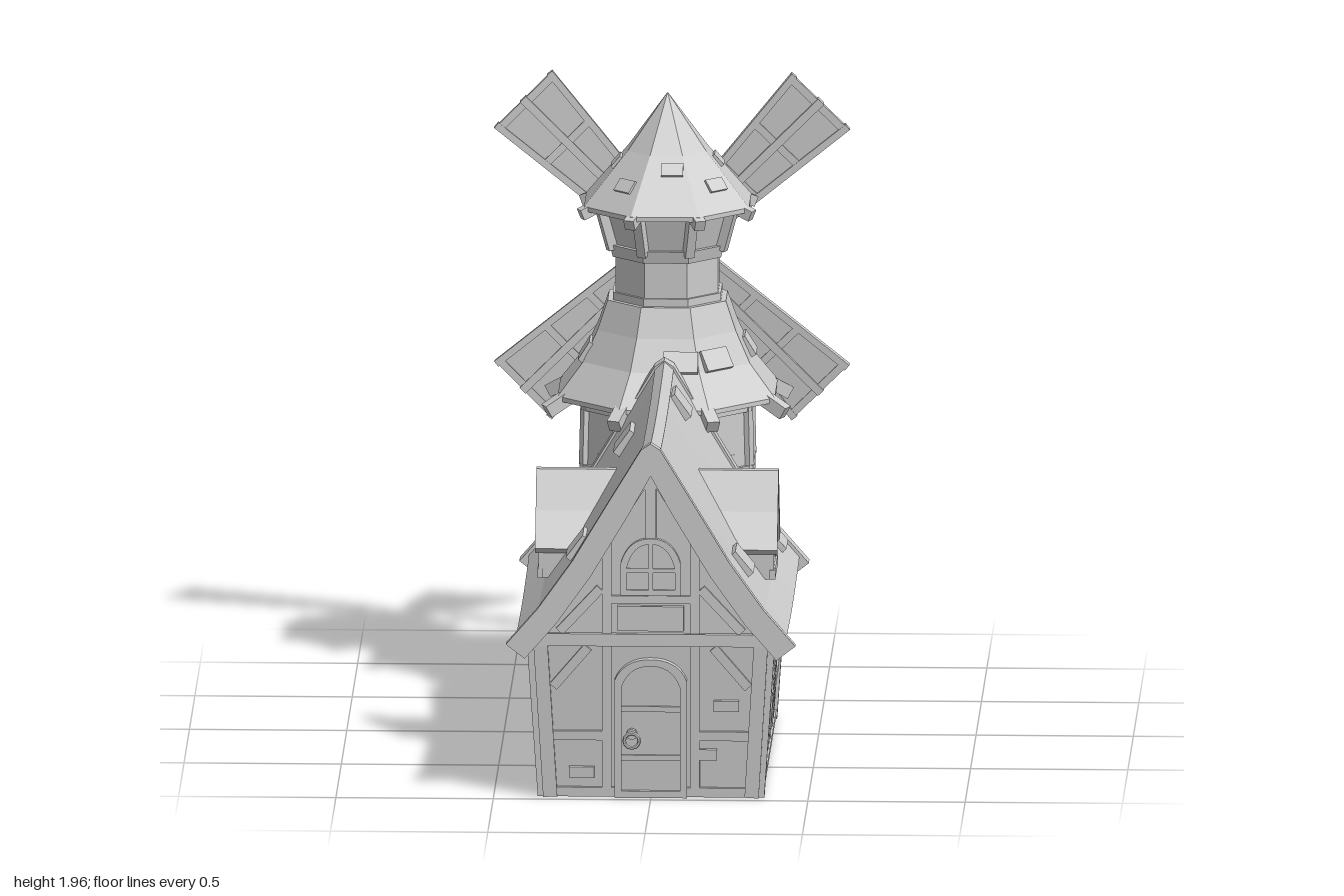
import * as THREE from 'three';

const mat = new THREE.MeshStandardMaterial({ color: 0xcccccc, flatShading: true });
const add = (parent, name, geo, x = 0, y = 0, z = 0) => {
  const m = new THREE.Mesh(geo, mat);
  m.name = name;
  m.position.set(x, y, z);
  parent.add(m);
  return m;
};
const group = (parent, name, x = 0, y = 0, z = 0) => {
  const g = new THREE.Group();
  g.name = name;
  g.position.set(x, y, z);
  parent.add(g);
  return g;
};
// Wall plane: local x along the wall, y up, z outward
const wall = (parent, name, x, y, z, angle, tilt = 0) => {
  const g = group(parent, name, x, y, z);
  g.rotation.set(tilt, angle, 0, 'YXZ');
  return g;
};
// Timber lying on a wall plane between two points
function bar(g, name, u1, v1, u2, v2, w = 0.03, d = 0.012, z0 = 0) {
  const m = add(g, name, new THREE.BoxGeometry(Math.hypot(u2 - u1, v2 - v1), w, d),
    (u1 + u2) / 2, (v1 + v2) / 2, z0 + d / 2);
  m.rotation.z = Math.atan2(v2 - v1, u2 - u1);
  return m;
}
const poly = pts => new THREE.Shape(pts.map(p => new THREE.Vector2(...p)));
const extrude = (shape, depth, steps = 1) =>
  new THREE.ExtrudeGeometry(shape, { depth, steps, bevelEnabled: false, curveSegments: 8 });

// Arched opening: raised frame around a shallow panel
function archPath(w, y0, y1, rise, P = THREE.Shape) {
  const p = new P();
  p.moveTo(-w, y0);
  p.lineTo(w, y0);
  p.lineTo(w, y1 - rise);
  p.quadraticCurveTo(w * 0.75, y1, 0, y1);
  p.quadraticCurveTo(-w * 0.75, y1, -w, y1 - rise);
  p.lineTo(-w, y0);
  return p;
}
function arch(g, name, x, w, y0, y1, rise, f, d) {
  const s = archPath(w, y0, y1, rise);
  s.holes.push(archPath(w - f, y0 + f, y1 - f, rise, THREE.Path));
  add(g, name + 'Frame', extrude(s, d), x);
  add(g, name + 'Panel', extrude(archPath(w - f / 2, y0 + f / 2, y1 - f / 2, rise), d * 0.5), x);
}
function ringHandle(g, x, y, z) {
  add(g, 'doorHandlePlate', new THREE.CylinderGeometry(0.018, 0.018, 0.015, 8), x, y + 0.02, z).rotation.x = Math.PI / 2;
  add(g, 'doorRing', new THREE.TorusGeometry(0.024, 0.006, 6, 12), x, y, z + 0.008);
}

// House roof outline from ridge to eave
const RZ = 0.35;
const OUT = [[0, 1.155], [0.03, 1.135], [0.13, 0.97], [0.25, 0.77], [0.36, 0.615], [0.46, 0.5]];
function roofY(x) {
  const i = OUT.findIndex(p => p[0] >= x) || 1, [a, b] = [OUT[i - 1], OUT[i]];
  return a[1] + (b[1] - a[1]) * (x - a[0]) / (b[0] - a[0]);
}
function roofShape(drop, t, maxX) {
  const out = OUT.slice(0, -1).concat([[maxX, roofY(maxX)]]).map(([x, y]) => [x, y - drop]);
  const inn = out.map(([x, y]) => x ? [Math.max(0.002, x - 0.8 * t), y - 0.62 * t] : [0, y - 1.4 * t]).filter(p => p[0] !== 0.002);
  const flip = a => a.slice(1).reverse().map(([x, y]) => [-x, y]);
  return poly([...flip(out), ...out, ...inn.slice(1).reverse(), inn[0], ...flip(inn).reverse()]);
}
// Gentle sag along the ridge
function sag(geo) {
  const p = geo.attributes.position;
  for (let i = 0; i < p.count; i++)
    p.setY(i, p.getY(i) - 0.022 * Math.max(0, 1 - ((p.getZ(i) - RZ) / 0.65) ** 2));
  geo.computeVertexNormals();
  return geo;
}

function buildHouse(root) {
  const house = group(root, 'house');
  // Body flares outward toward the eaves
  const body = new THREE.BoxGeometry(0.68, 0.5, 1.2).translate(0, 0.25, 0);
  const p = body.attributes.position;
  for (let i = 0; i < p.count; i++) if (p.getY(i) > 0.1)
    p.setXYZ(i, p.getX(i) * 1.1, 0.5, p.getZ(i) * 1.042);
  add(house, 'houseBody', body, 0, 0, RZ);
  add(house, 'gables', extrude(poly([[-0.374, 0.5], [0.374, 0.5], [0, 1.08]]), 1.25), 0, 0, RZ - 0.625);

  // Roof slab, end boards and ridge cap
  add(house, 'roof', sag(extrude(roofShape(0.015, 0.045, 0.43), 1.24, 10).translate(0, 0, -0.27)));
  for (const z of [-0.3, 0.955])
    add(house, 'roofEndBoard', sag(extrude(roofShape(0, 0.075, 0.46), 0.045).translate(0, 0, z)));
  add(house, 'ridgeCap', sag(extrude(poly([[-0.032, 1.09], [0.032, 1.09], [0.03, 1.125], [0, 1.152], [-0.03, 1.125]]), 1.24, 10).translate(0, 0, -0.27)));
  for (const [x, z] of [[0.06, -0.02], [0.28, 0.67], [0.355, -0.17], [-0.11, 0.14], [-0.24, 0.72], [-0.33, -0.1]]) {
    const a = Math.abs(x), slope = Math.atan2(roofY(a + 0.03) - roofY(a - 0.03), 0.06);
    const t = add(house, 'looseShingle', new THREE.BoxGeometry(0.09, 0.025, 0.14), x, roofY(a) - 0.02, z);
    t.rotation.z = Math.sign(x) * (slope + 0.08);
  }

  // Side walls
  for (const s of [1, -1]) {
    const g = wall(house, 'sideWall', s * 0.34, 0, 0, s * Math.PI / 2, 0.068);
    const b = (n, z1, y1, z2, y2, w, d) => bar(g, n, -z1 * s, y1, -z2 * s, y2, w, d);
    b('sillBeam', 0.95, 0.015, -0.25, 0.015, 0.03, 0.016);
    b('middleBeam', 0.96, 0.2, -0.26, 0.2, 0.035, 0.016);
    b('topBeam', 0.97, 0.485, -0.27, 0.485, 0.03, 0.016);
    b('cornerPost', 0.935, 0, 0.95, 0.5, 0.045, 0.02);
    b('cornerPost', -0.235, 0, -0.25, 0.5, 0.045, 0.02);
    for (const z of [0.72, 0.53, 0.36, 0.2, 0.02, -0.1]) b('lowerStud', z, 0.02, z, 0.19);
    for (const z of [0.68, 0.42, 0.165]) b('upperStud', z, 0.2, z, 0.48, 0.035, 0.014);
    b('brace', 0.91, 0.46, 0.71, 0.23);
    b('brace', 0.39, 0.23, 0.28, 0.46);
    b('brace', 0.27, 0.46, 0.18, 0.23);
    b('brace', 0.14, 0.23, -0.2, 0.46);
    for (const [z, y] of [[0.83, 0.08], [0.44, 0.14], [0.235, 0.27]]) b('brick', z + 0.037, y, z - 0.037, y, 0.04, 0.016);
    // Window with shutter slats
    b('windowPanel', 0.64, 0.345, 0.45, 0.345, 0.23, 0.008);
    for (const y of [0.235, 0.29, 0.345, 0.4, 0.455]) b('windowSlat', 0.665, y, 0.435, y, 0.02, 0.02);
    for (const z of [0.655, 0.55, 0.445]) b('windowUpright', z, 0.23, z, 0.46, 0.02, 0.018);

    // Dormer
    const d = wall(house, 'dormer', 0, 0, 0.345, s * Math.PI / 2);
    add(d, 'dormerBody', extrude(poly([[-0.115, 0.6], [0.115, 0.6], [0.115, 0.715], [0, 0.9], [-0.115, 0.715]]), 0.26), 0, 0, 0.1);
    add(d, 'dormerRoof', extrude(poly([[0.115, 0.68], [0.142, 0.7], [0.075, 0.81], [0.015, 0.932], [-0.015, 0.932],
      [-0.075, 0.81], [-0.142, 0.7], [-0.115, 0.68], [-0.055, 0.79], [0, 0.89], [0.055, 0.79]]), 0.285), 0, 0, 0.1);
    const w = group(d, 'dormerFace', 0, 0, 0.36);
    arch(w, 'dormerWindow', 0, 0.065, 0.635, 0.78, 0.06, 0.015, 0.014);
    bar(w, 'dormerSill', -0.12, 0.615, 0.12, 0.615, 0.03, 0.018);
    for (const m of [1, -1]) bar(w, 'dormerPost', m * 0.105, 0.6, m * 0.105, 0.72, 0.025, 0.014);
  }

  // End walls with gable timber
  for (const s of [1, -1]) {
    const a = s > 0 ? 0 : Math.PI;
    const g = wall(house, 'endWall', 0, 0, RZ + s * 0.6, a, 0.05);
    const u = wall(house, 'gableWall', 0, 0, RZ + s * 0.625, a);
    bar(g, 'sillBeam', -0.34, 0.015, 0.34, 0.015, 0.03);
    bar(u, 'eaveBeam', -0.37, 0.515, 0.37, 0.515, 0.04, 0.02);
    bar(u, 'kingPost', 0, 0.84, 0, 1.06, 0.035);
    for (const m of [1, -1]) {
      bar(g, 'cornerPost', m * 0.32, 0, m * 0.35, 0.5, 0.045, 0.018);
      bar(g, 'doorPost', m * 0.14, 0.02, m * 0.14, 0.5, 0.03);
      bar(g, 'midRail', m * 0.14, 0.2, m * 0.33, 0.2, 0.03);
      bar(g, 'cornerBrace', m * 0.31, 0.36, m * 0.2, 0.49, 0.03);
      bar(u, 'gablePost', m * 0.14, 0.53, m * 0.14, 0.83, 0.03);
      bar(u, 'gableBrace', m * 0.29, 0.54, m * 0.16, 0.68, 0.03);
      bar(u, 'gableRafter', m * 0.34, 0.54, m * 0.02, 1.03, 0.03);
    }
    bar(u, 'collarBeam', -0.14, 0.645, 0.14, 0.645, 0.025);
    if (s < 0) continue;
    arch(g, 'frontDoor', 0, 0.115, 0.0, 0.455, 0.07, 0.022, 0.026);
    for (const y of [0.13, 0.29]) bar(g, 'doorBand', -0.095, y, 0.095, y, 0.018, 0.02);
    ringHandle(g, -0.06, 0.19, 0.025);
    arch(u, 'gableWindow', 0, 0.095, 0.66, 0.845, 0.08, 0.018, 0.018);
    bar(u, 'windowMullion', 0, 0.67, 0, 0.83, 0.014, 0.014);
    bar(u, 'windowMullion', -0.08, 0.74, 0.08, 0.74, 0.014, 0.014);
    bar(u, 'windowBox', -0.105, 0.585, 0.105, 0.585, 0.08, 0.02);
    for (const [x, y] of [[-0.22, 0.08], [0.17, 0.14], [0.24, 0.3]]) bar(g, 'brick', x - 0.04, y, x + 0.04, y, 0.035, 0.016);
  }
}

function buildTower(root) {
  const tower = group(root, 'tower', 0, 0, -0.575);
  const K = Math.cos(Math.PI / 8);
  // Octagonal profile given as [distance to flat side, height]
  const oct = (name, pts) => add(tower, name,
    new THREE.LatheGeometry(pts.map(([r, y]) => new THREE.Vector2(r / K, y)), 8, Math.PI / 8));
  const band = (name, r0, y0, r1, y1) => oct(name, [[0, y0], [r0, y0], [r1, y1], [0, y1]]);
  oct('towerWall', [[0, 0], [0.29, 0], [0.264, 0.75], [0.258, 0.99]]);
  band('baseBand', 0.302, 0, 0.302, 0.025);
  band('railBand', 0.298, 0.175, 0.296, 0.2);
  band('upperBand', 0.276, 0.72, 0.276, 0.77);
  band('eaveBand', 0.272, 0.945, 0.272, 0.985);
  oct('lowerRoof', [[0, 0.975], [0.345, 0.98], [0.345, 0.995], [0.265, 1.1], [0.22, 1.2], [0.188, 1.295], [0, 1.295]]);
  band('neck', 0.163, 1.28, 0.163, 1.45);
  band('neckBand', 0.172, 1.295, 0.172, 1.32);
  band('galleryBand', 0.172, 1.435, 0.182, 1.475);
  band('gallery', 0.165, 1.47, 0.2, 1.6);
  oct('upperRoof', [[0, 1.585], [0.262, 1.59], [0.262, 1.605], [0.125, 1.775], [0.001, 1.955]]);

  for (let k = 0; k < 8; k++) {
    const a = k * Math.PI / 4, back = k === 4;
    const side = group(tower, 'towerSide');
    side.rotation.y = a;
    const low = wall(side, 'lowerPanel', 0, 0, 0.29, 0, -0.035);
    // Cross braces around the foot
    if (!back) for (const m of [1, -1]) {
      bar(low, 'crossBrace', -0.1 * m, 0.03, 0.1 * m, 0.17, 0.022, 0.012);
      bar(low, 'footPost', 0.113 * m, 0.02, 0.113 * m, 0.18, 0.024, 0.012);
    }
    const [bx, by] = [[-0.03, 0.57], [0.05, 0.4], [0.03, 0.29], [-0.05, 0.6]][k % 4];
    bar(low, 'brick', bx - 0.035, by, bx + 0.035, by, 0.03, 0.012);
    // Small pointed windows
    const up = wall(side, 'upperPanel', 0, 0, 0.261, 0, -0.02);
    add(up, 'towerWindow', extrude(poly([[-0.036, 0.81], [0.036, 0.81], [0.036, 0.875], [0, 0.905], [-0.036, 0.875]]), 0.012));
    bar(up, 'windowSill', -0.045, 0.805, 0.045, 0.805, 0.014, 0.02);
    // Shingles
    if (k % 2 === 0 || k === 3 || k === 1) {
      const t = add(side, 'looseShingle', new THREE.BoxGeometry(0.11, 0.02, 0.07), k % 2 ? -0.03 : 0.05, 1.13, 0.255);
      t.rotation.x = 1.02;
    }
    if (k !== 5) add(side, 'looseShingle', new THREE.BoxGeometry(0.07, 0.018, 0.045),
      0.02, k % 2 ? 1.68 : 1.735, k % 2 ? 0.2 : 0.158).rotation.x = 0.85;

    // Corner posts and sloping eave beams
    const corner = group(tower, 'towerCorner');
    corner.rotation.y = a + Math.PI / 8;
    const beam = (name, w, r0, y0, r1, y1) => {
      const m = add(corner, name, new THREE.BoxGeometry(w, w, Math.hypot(r1 - r0, y1 - y0)), 0, (y0 + y1) / 2, (r0 + r1) / 2);
      m.rotation.x = -Math.atan2(y1 - y0, r1 - r0);
    };
    beam('cornerPost', 0.035, 0.277, 0.765, 0.272, 0.96);
    beam('eaveBeam', 0.042, 0.28, 1.025, 0.41, 0.95);
    beam('galleryPost', 0.03, 0.188, 1.46, 0.228, 1.6);
    beam('galleryEaveBeam', 0.035, 0.21, 1.615, 0.295, 1.58);
  }

  // Rear door
  const d = wall(tower, 'rearDoor', 0, 0, -0.28, Math.PI, -0.03);
  arch(d, 'rearDoor', 0, 0.11, 0, 0.46, 0.07, 0.022, 0.058);
  for (const y of [0.13, 0.3]) bar(d, 'doorBand', -0.09, y, 0.09, y, 0.018, 0.038);
  ringHandle(d, 0.06, 0.2, 0.04);
}

function buildSails(root) {
  const mill = group(root, 'sailWheel', 0, 1.37, 0);
  add(mill, 'axleCollar', new THREE.BoxGeometry(0.09, 0.1, 0.09), 0, 0, -0.76);
  const rod = (name, r, len, z, n) => { add(mill, name, new THREE.CylinderGeometry(r, r, len, n), 0, 0, z).rotation.x = Math.PI / 2; };
  rod('axle', 0.016, 0.25, -0.86, 8);
  rod('hub', 0.045, 0.045, -0.977, 8);
  for (let k = 0; k < 4; k++) {
    const g = group(mill, 'sail', 0, 0, -0.975);
    g.rotation.set(0, 0.06, Math.PI / 4 + k * Math.PI / 2, 'ZYX');
    const w = v => 0.07 + (v - 0.13) * 0.11;
    add(g, 'sailPanel', extrude(poly([[-w(0.13), 0.13], [w(0.13), 0.13], [w(0.665), 0.665], [-w(0.665), 0.665]]), 0.01), 0, 0, -0.005);
    bar(g, 'spar', 0, 0, 0, 0.67, 0.026, 0.032, -0.016);
    for (const m of [1, -1]) bar(g, 'edgeRail', m * (w(0.13) - 0.01), 0.12, m * (w(0.67) - 0.01), 0.67, 0.022, 0.026, -0.013);
    for (const v of [0.135, 0.3, 0.47, 0.655]) bar(g, 'crossRail', -w(v), v, w(v), v, 0.024, 0.022, -0.011);
  }
}

export function createModel() {
  const root = new THREE.Group();
  root.name = 'windmillHouse';
  buildHouse(root);
  buildTower(root);
  buildSails(root);
  return root;
}
